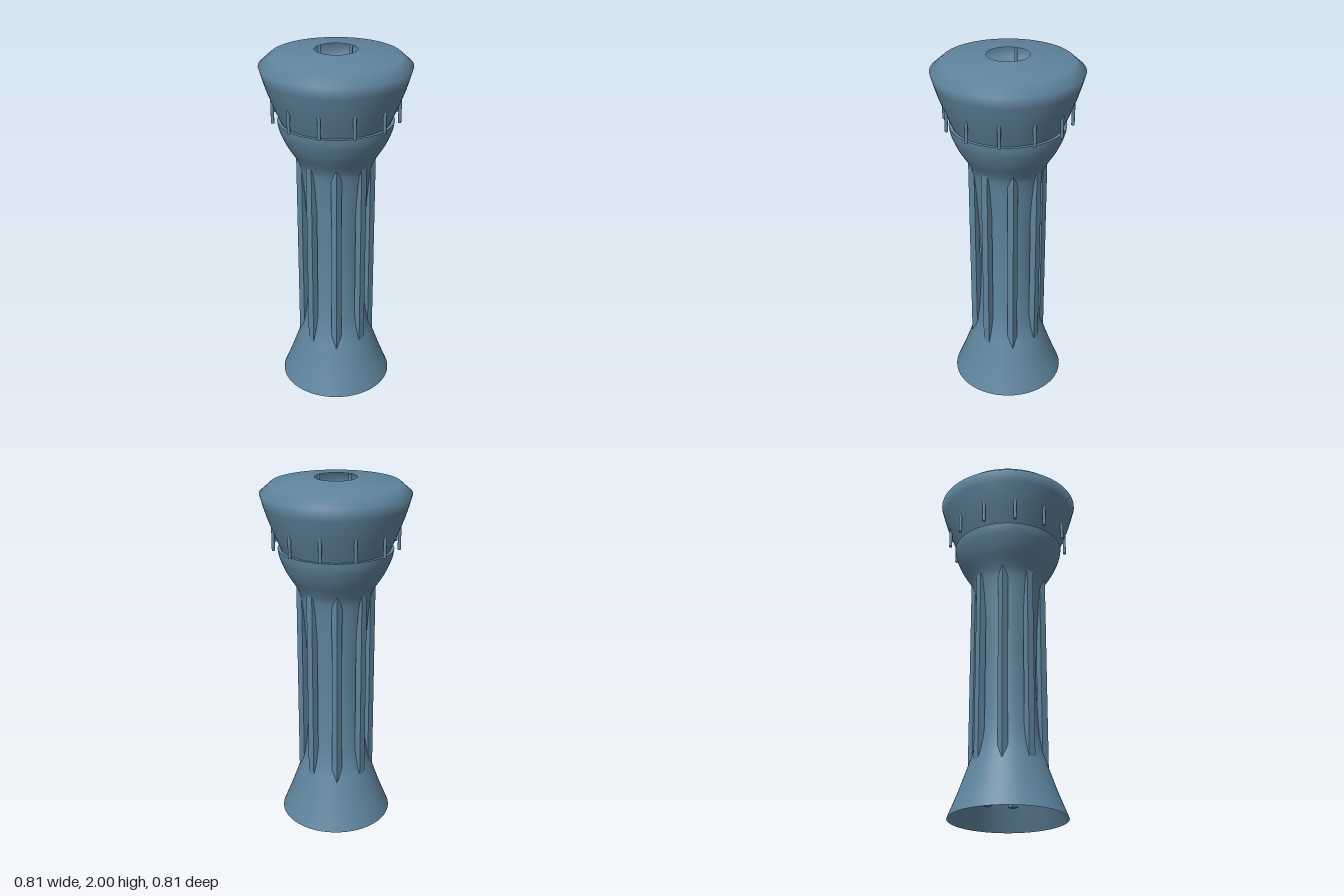
import * as THREE from 'three';

export function createModel() {
  const group = new THREE.Group();
  const slate = new THREE.MeshStandardMaterial({ color: 0x5f849d, side: THREE.DoubleSide });
  slate.name = 'slate blue';

  const add = (name, geometry, x = 0, y = 0, z = 0) => {
    const mesh = new THREE.Mesh(geometry, slate);
    mesh.name = name;
    mesh.position.set(x, y, z);
    group.add(mesh);
  };
  const points = (list) => list.map(([r, y]) => new THREE.Vector2(r, y));

  // Hollow shaft: flared foot, slim waist and bowl
  const shaft = new THREE.SplineCurve(points([
    [0.32, 0], [0.268, 0.13], [0.22, 0.265], [0.193, 0.345], [0.173, 0.45],
    [0.161, 0.62], [0.157, 0.8], [0.162, 0.96], [0.176, 1.18], [0.192, 1.33],
    [0.215, 1.4], [0.27, 1.49], [0.305, 1.57], [0.315, 1.62],
  ]));
  add('shaft', new THREE.LatheGeometry(shaft.getPoints(52), 64));

  // Narrow ledge between bowl and head
  add('ledge', new THREE.LatheGeometry(points([[0.315, 1.62], [0.297, 1.62]]), 64));

  // Flared head with a rounded rim and a roof open in the middle
  add('head', new THREE.LatheGeometry(points([
    [0.297, 1.62], [0.323, 1.68], [0.345, 1.735], [0.366, 1.79], [0.387, 1.855],
    [0.405, 1.92], [0.345, 1.972], [0.113, 2.0],
  ]), 64));

  // Eight square columns, all aligned with the axes
  const column = new THREE.BoxGeometry(0.04, 1.39, 0.04);
  for (let i = 0; i < 8; i++) {
    const a = (i * Math.PI) / 4;
    add('column', column, 0.19 * Math.sin(a), 0.805, 0.19 * Math.cos(a));
  }

  // Twelve slim posts passing through the head wall
  const post = new THREE.CylinderGeometry(0.009, 0.009, 0.32, 10);
  for (let i = 0; i < 12; i++) {
    const a = (i * Math.PI) / 6;
    add('post', post, 0.345 * Math.sin(a), 1.79, 0.345 * Math.cos(a));
  }
  return group;
}
